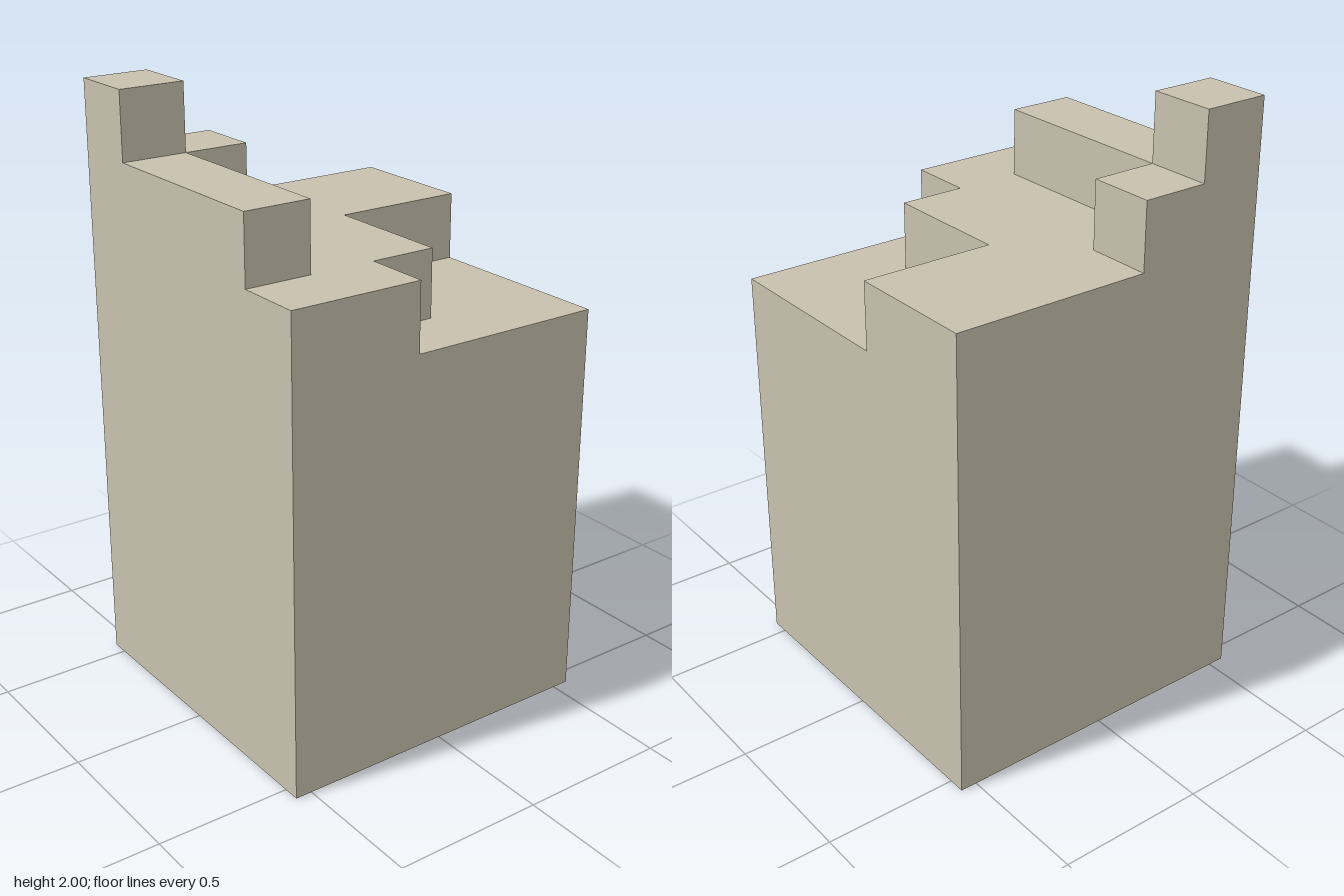
import * as THREE from 'three';

const U = 2 / 9; // one grid cell; the block is 5 x 5 cells wide and 9 high

export function createModel() {
  const model = new THREE.Group();
  model.name = 'steppedBlock';
  const stone = new THREE.MeshStandardMaterial({ color: 0xc8c0ae });
  stone.name = 'paleStone';

  // Extrudes a plan outline, in cells from the back corner at -x, upwards.
  function addLayer(name, outline, bottom, height) {
    const shape = new THREE.Shape(
      outline.map(([x, z]) => new THREE.Vector2((x - 2.5) * U, (2.5 - z) * U))
    );
    const geometry = new THREE.ExtrudeGeometry(shape, { depth: height * U, bevelEnabled: false });
    geometry.rotateX(-Math.PI / 2);
    const mesh = new THREE.Mesh(geometry, stone);
    mesh.name = name;
    mesh.position.y = bottom * U;
    model.add(mesh);
  }

  // Solid body
  addLayer('body', [[0, 0], [5, 0], [5, 5], [0, 5]], 0, 6);
  // Terrace with a stepped notch in the front corner
  addLayer('terrace', [[0, 0], [5, 0], [5, 2], [3, 2], [3, 4], [2, 4], [2, 5], [0, 5]], 6, 1);
  // L-shaped ridge along the side and back
  addLayer('ridge', [[0, 0], [2, 0], [2, 1], [1, 1], [1, 4], [0, 4]], 7, 1);
  // Cube on the back corner
  addLayer('cornerCube', [[0, 0], [1, 0], [1, 1], [0, 1]], 8, 1);

  return model;
}
